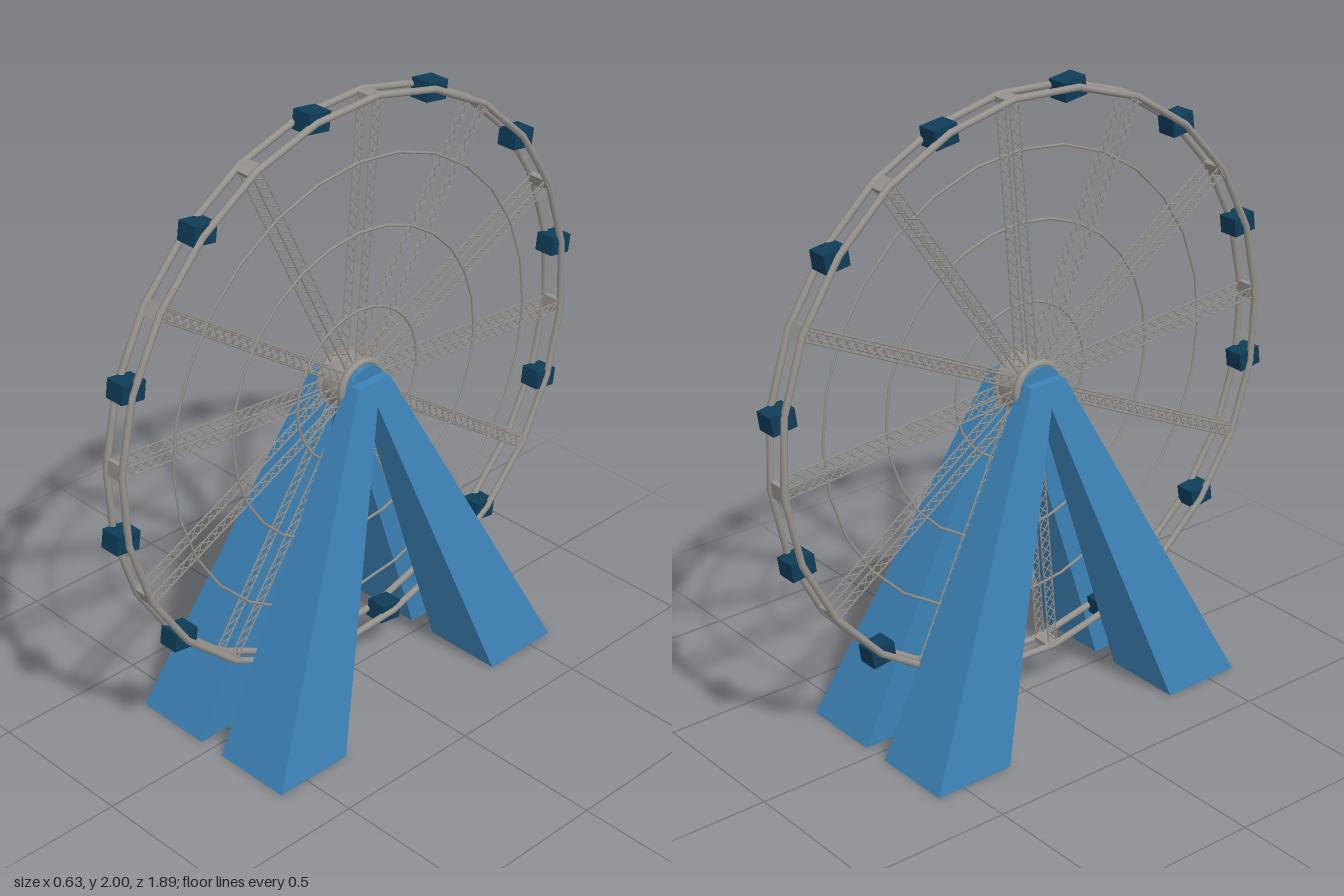
import * as THREE from 'three';
import { mergeGeometries } from 'three/addons/utils/BufferGeometryUtils.js';

const mat = (name, color) => {
  const m = new THREE.MeshStandardMaterial({ color });
  m.name = name;
  return m;
};
const DEG = Math.PI / 180;

// Thin bar between two points
function bar(a, b, r) {
  const d = b.clone().sub(a);
  const g = new THREE.CylinderGeometry(r, r, d.length(), 4, 1, true);
  g.applyQuaternion(new THREE.Quaternion().setFromUnitVectors(new THREE.Vector3(0, 1, 0), d.normalize()));
  const c = a.clone().add(b).multiplyScalar(0.5);
  return g.translate(c.x, c.y, c.z);
}

// Box truss along +y: a cross-braced lattice on each side of the wheel
function trussGeometry(inner, outer, halfWidth, depth, cells) {
  const parts = [];
  const step = (outer - inner) / cells;
  for (const z of [-depth, depth]) {
    const p = (x, y) => new THREE.Vector3(x, y, z);
    for (const s of [-1, 1]) {
      parts.push(bar(p(s * halfWidth, inner), p(s * halfWidth, outer), 0.003));
      for (let i = 0; i < cells; i++) {
        const y = inner + i * step;
        parts.push(bar(p(-s * halfWidth, y), p(s * halfWidth, y + step), 0.0022));
      }
    }
  }
  return mergeGeometries(parts);
}

// Tapered leg: box whose top end is moved and narrowed
function legGeometry(sx, sz) {
  const h = 1.1;
  const g = new THREE.BoxGeometry(1, h, 1);
  const pos = g.attributes.position;
  for (let i = 0; i < pos.count; i++) {
    const top = pos.getY(i) > 0;
    const outX = pos.getX(i) * sx > 0;
    const outZ = pos.getZ(i) * sz > 0;
    const x = outX ? (top ? 0.1 : 0.315) : 0.046;
    const z = outZ ? (top ? 0.065 : 0.598) : (top ? -0.025 : 0.328);
    pos.setXYZ(i, sx * x, top ? h : 0, sz * z);
  }
  const flat = g.toNonIndexed();
  flat.computeVertexNormals();
  return flat;
}

export function createModel() {
  const blue = mat('support blue', 0x3c82b6);
  const navy = mat('cabin navy', 0x0f3d58);
  const grey = mat('steel grey', 0x96928d);

  const model = new THREE.Group();
  model.name = 'ferrisWheel';
  const add = (parent, name, geometry, material) => {
    const m = new THREE.Mesh(geometry, material);
    m.name = name;
    parent.add(m);
    return m;
  };

  // Support legs and axle
  for (const sx of [-1, 1]) {
    for (const sz of [-1, 1]) add(model, 'supportLeg', legGeometry(sx, sz), blue).position.z = 0.006;
  }
  const axle = add(model, 'axle', new THREE.CylinderGeometry(0.075, 0.075, 0.14, 20), blue);
  axle.rotation.z = Math.PI / 2;
  axle.position.set(0, 1.066, 0.006);

  // Wheel, built in the XY plane and turned to face sideways
  const wheel = new THREE.Group();
  wheel.name = 'wheel';
  wheel.position.set(-0.003, 1.066, 0.006);
  wheel.rotation.y = Math.PI / 2;
  model.add(wheel);

  const R = 0.917, half = 0.034, spokeAngle = 4.8, cabinAngle = 20.5;

  // Twin outer rims
  for (const s of [-1, 1]) {
    const rim = add(wheel, 'rim', new THREE.TorusGeometry(R, 0.011, 8, 24), grey);
    rim.position.z = s * half;
    rim.rotation.z = (90 - spokeAngle - 75) * DEG;
  }

  // Thin inner hoops
  for (const r of [0.25, 0.505, 0.73]) {
    const hoop = add(wheel, 'innerHoop', new THREE.TorusGeometry(r, 0.0045, 5, 28), grey);
    hoop.position.z = half;
  }

  // Hub drum with flanges
  add(wheel, 'hub', new THREE.CylinderGeometry(0.085, 0.085, 0.09, 24), grey).rotation.x = Math.PI / 2;
  for (const s of [-1, 1]) {
    const flange = add(wheel, 'hubFlange', new THREE.TorusGeometry(0.081, 0.012, 8, 24), grey);
    flange.position.z = s * 0.046;
  }

  // Lattice spokes with a plate across the rims
  const truss = trussGeometry(0.085, 0.905, 0.016, half - 0.003, 23);
  const plate = new THREE.BoxGeometry(0.05, 0.016, 0.08);
  for (let i = 0; i < 12; i++) {
    const spoke = new THREE.Group();
    spoke.name = 'spoke';
    spoke.rotation.z = -(spokeAngle + i * 30) * DEG;
    add(spoke, 'spokeTruss', truss, grey);
    add(spoke, 'rimPlate', plate, grey).position.y = 0.911;
    wheel.add(spoke);
  }

  // Cabins, all hanging at the same slight tilt
  const cabin = new THREE.BoxGeometry(0.082, 0.06, 0.068);
  for (let i = 0; i < 12; i++) {
    const a = (cabinAngle + i * 30) * DEG;
    const c = add(wheel, 'cabin', cabin, navy);
    c.position.set(Math.sin(a) * 0.915, Math.cos(a) * 0.915 - 0.003, 0);
    c.rotation.z = -8 * DEG;
  }
  return model;
}
